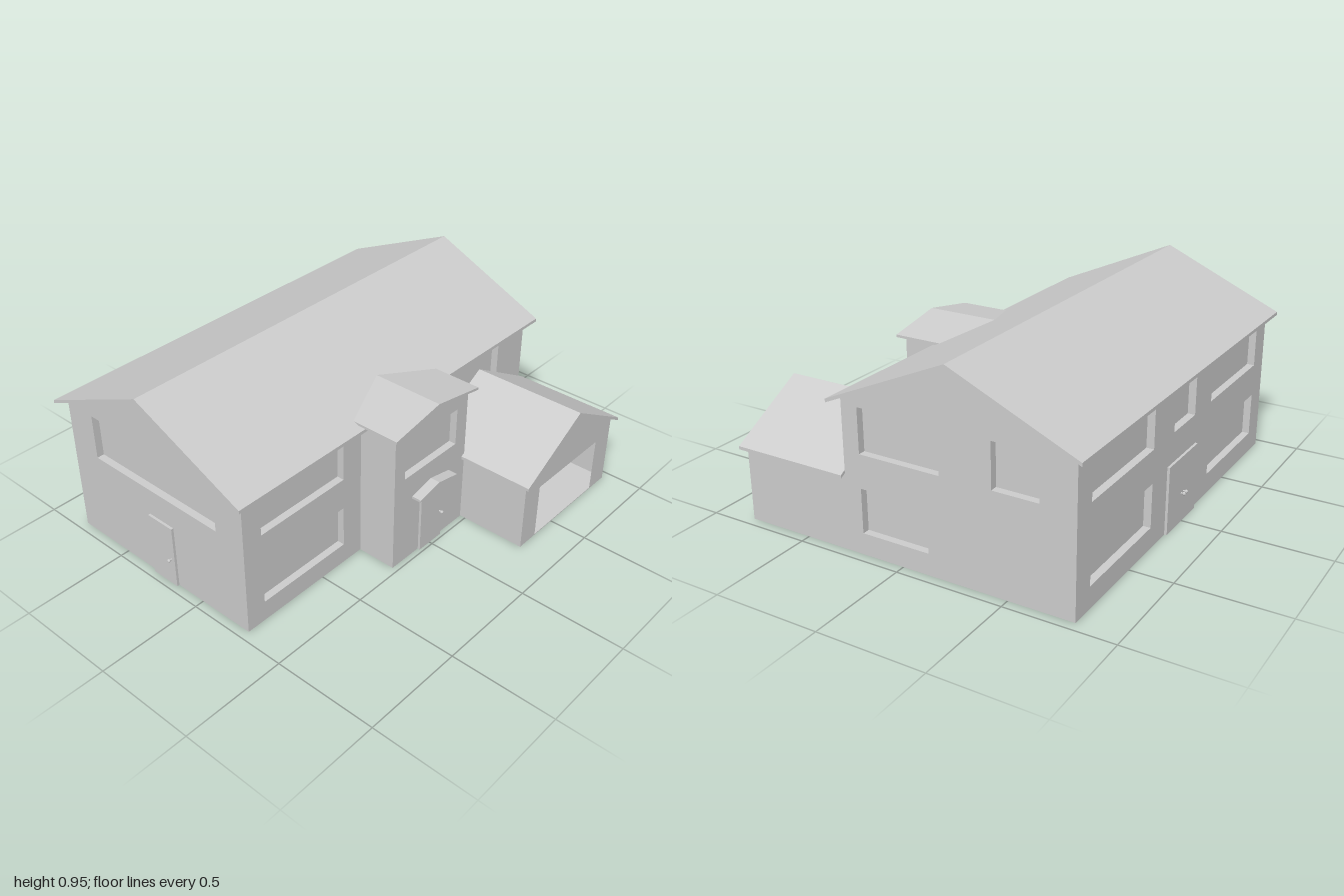
import * as THREE from 'three';

const mat = new THREE.MeshStandardMaterial({ color: 0xcccccc, side: THREE.DoubleSide, flatShading: true });

// Yaw of each outward direction
const YAW = { front: 0, right: Math.PI / 2, back: Math.PI, left: -Math.PI / 2 };
// Sign that turns a world x or z into the wall's own horizontal axis
const SIGN = { front: 1, right: -1, back: -1, left: 1 };

function add(parent, name, geometry) {
  const mesh = new THREE.Mesh(geometry, mat);
  mesh.name = name;
  parent.add(mesh);
  return mesh;
}

// Group whose local +z points outward from the given face
function faceGroup(parent, name, facing, offset) {
  const g = new THREE.Group();
  g.name = name;
  g.rotation.y = YAW[facing];
  const alongX = facing === 'right' || facing === 'left';
  g.position.set(alongX ? offset : 0, 0, alongX ? 0 : offset);
  parent.add(g);
  return g;
}

// Rectangular recess with a pane at the back, open towards local +z
function recessedWindow(parent, u0, u1, v0, v1, depth = 0.035) {
  const geo = new THREE.BoxGeometry(u1 - u0, v1 - v0, depth);
  const index = Array.from(geo.index.array);
  index.splice(24, 6); // drop the outward face
  geo.setIndex(index);
  geo.clearGroups();
  add(parent, 'window', geo).position.set((u0 + u1) / 2, (v0 + v1) / 2, -depth / 2);
}

// Wall from u0 to u1 up to h, with optional gable apex; windows and openings are [u0, u1, v0, v1]
function wall(parent, name, facing, offset, { u0, u1, h, apex, windows = [], openings = [] }) {
  const g = faceGroup(parent, name, facing, offset);
  const s = SIGN[facing];
  const [a, b] = [u0 * s, u1 * s].sort((p, q) => p - q);
  const pts = [[a, 0], [b, 0], [b, h]];
  if (apex) pts.push([(a + b) / 2, apex]);
  pts.push([a, h]);
  const shape = new THREE.Shape(pts.map(p => new THREE.Vector2(...p)));
  const cut = ([p, q, v0, v1]) => {
    const [c, d] = [p * s, q * s].sort((m, n) => m - n);
    shape.holes.push(new THREE.Path([[c, v0], [c, v1], [d, v1], [d, v0]].map(k => new THREE.Vector2(...k))));
    return [c, d, v0, v1];
  };
  windows.forEach(w => recessedWindow(g, ...cut(w)));
  openings.forEach(cut);
  add(g, name + 'Panel', new THREE.ShapeGeometry(shape));
}

// Door leaf with handles at the given positions along the wall
function door(parent, name, facing, offset, u0, u1, height, handles) {
  const g = faceGroup(parent, name, facing, offset);
  const s = SIGN[facing];
  add(g, 'doorLeaf', new THREE.BoxGeometry(u1 - u0, height, 0.016)).position.set(s * (u0 + u1) / 2, height / 2, 0.002);
  for (const u of handles) {
    const stem = add(g, 'handleStem', new THREE.CylinderGeometry(0.004, 0.004, 0.014, 8));
    stem.rotation.x = Math.PI / 2;
    stem.position.set(s * u, 0.145, 0.015);
    add(g, 'handleKnob', new THREE.SphereGeometry(0.008, 10, 8)).position.set(s * u, 0.145, 0.024);
  }
}

// Gabled roof slab: a chevron extruded along local z
function gableRoof(parent, name, half, eave, ridge, thick, length) {
  const pts = [[-half, eave], [0, ridge], [half, eave], [half, eave - thick], [0, ridge - thick], [-half, eave - thick]];
  const shape = new THREE.Shape(pts.map(p => new THREE.Vector2(...p)));
  return add(parent, name, new THREE.ExtrudeGeometry(shape, { depth: length, bevelEnabled: false }));
}

export function createModel() {
  const house = new THREE.Group();
  house.name = 'house';
  const LOW = [0.1, 0.305], HIGH = [0.46, 0.665];

  // Main two-storey block
  const main = new THREE.Group();
  main.name = 'mainBlock';
  house.add(main);
  const gable = { u0: -0.8, u1: 0.28, h: 0.69, apex: 0.934 };
  wall(main, 'frontWall', 'front', 0.955, { ...gable, windows: [[-0.64, 0.12, 0.455, 0.675]] });
  wall(main, 'backWall', 'back', -0.953, {
    ...gable, windows: [[-0.19, 0.2, ...HIGH], [-0.64, -0.43, ...HIGH], [-0.13, 0.2, ...LOW]],
  });
  wall(main, 'leftWall', 'right', 0.28, {
    u0: -0.953, u1: 0.955, h: 0.69,
    windows: [[0.36, 0.855, ...LOW], [0.36, 0.855, ...HIGH], [-0.75, -0.45, 0.46, 0.65]],
    openings: [[-0.23, 0.23, 0.002, 0.67]],
  });
  wall(main, 'rightWall', 'left', -0.8, {
    u0: -0.953, u1: 0.955, h: 0.69,
    windows: [[-0.84, -0.3, ...LOW], [-0.84, -0.3, ...HIGH], [-0.1, 0.12, ...HIGH], [0.3, 0.84, ...LOW], [0.3, 0.84, ...HIGH]],
  });
  gableRoof(main, 'mainRoof', 0.58, 0.693, 0.95, 0.016, 2).position.set(-0.26, 0, -1);
  door(main, 'frontDoor', 'front', 0.957, -0.305, -0.155, 0.32, [-0.175]);
  door(main, 'patioDoubleDoor', 'left', -0.802, -0.155, 0.14, 0.32, [-0.02, 0.005]);

  // Entrance tower with its own gable and door canopy
  const tower = new THREE.Group();
  tower.name = 'entranceTower';
  house.add(tower);
  wall(tower, 'towerOuterWall', 'right', 0.472, {
    u0: -0.248, u1: 0.248, h: 0.7, apex: 0.752, windows: [[-0.175, 0.18, 0.455, 0.64]],
  });
  wall(tower, 'towerFrontWall', 'front', 0.248, { u0: 0.28, u1: 0.472, h: 0.7 });
  wall(tower, 'towerBackWall', 'back', -0.248, { u0: 0.28, u1: 0.472, h: 0.7 });
  door(tower, 'entranceDoor', 'right', 0.474, -0.08, 0.07, 0.32, [-0.065]);
  const towerRoof = gableRoof(tower, 'towerRoof', 0.28, 0.717, 0.767, 0.012, 0.355);
  towerRoof.rotation.y = Math.PI / 2;
  towerRoof.position.x = 0.147;
  const canopy = gableRoof(tower, 'doorCanopy', 0.13, 0.333, 0.36, 0.012, 0.05);
  canopy.rotation.y = Math.PI / 2;
  canopy.position.set(0.47, 0, -0.005);

  // Garage wing with a wide open doorway
  const garage = new THREE.Group();
  garage.name = 'garage';
  house.add(garage);
  wall(garage, 'garageOuterWall', 'right', 0.815, {
    u0: -0.953, u1: -0.25, h: 0.35, apex: 0.55, openings: [[-0.835, -0.365, 0.002, 0.277]],
  });
  wall(garage, 'garageFrontWall', 'front', -0.25, { u0: 0.28, u1: 0.815, h: 0.352 });
  wall(garage, 'garageBackWall', 'back', -0.953, { u0: 0.28, u1: 0.815, h: 0.352 });
  add(garage, 'garageFloor', new THREE.BoxGeometry(0.535, 0.004, 0.7)).position.set(0.5475, 0.002, -0.602);
  door(garage, 'garageInnerDoor', 'right', 0.282, -0.495, -0.345, 0.32, [-0.48]);
  const garageRoof = gableRoof(garage, 'garageRoof', 0.375, 0.356, 0.57, 0.015, 0.56);
  garageRoof.rotation.y = Math.PI / 2;
  garageRoof.position.set(0.28, 0, -0.604);

  return house;
}
